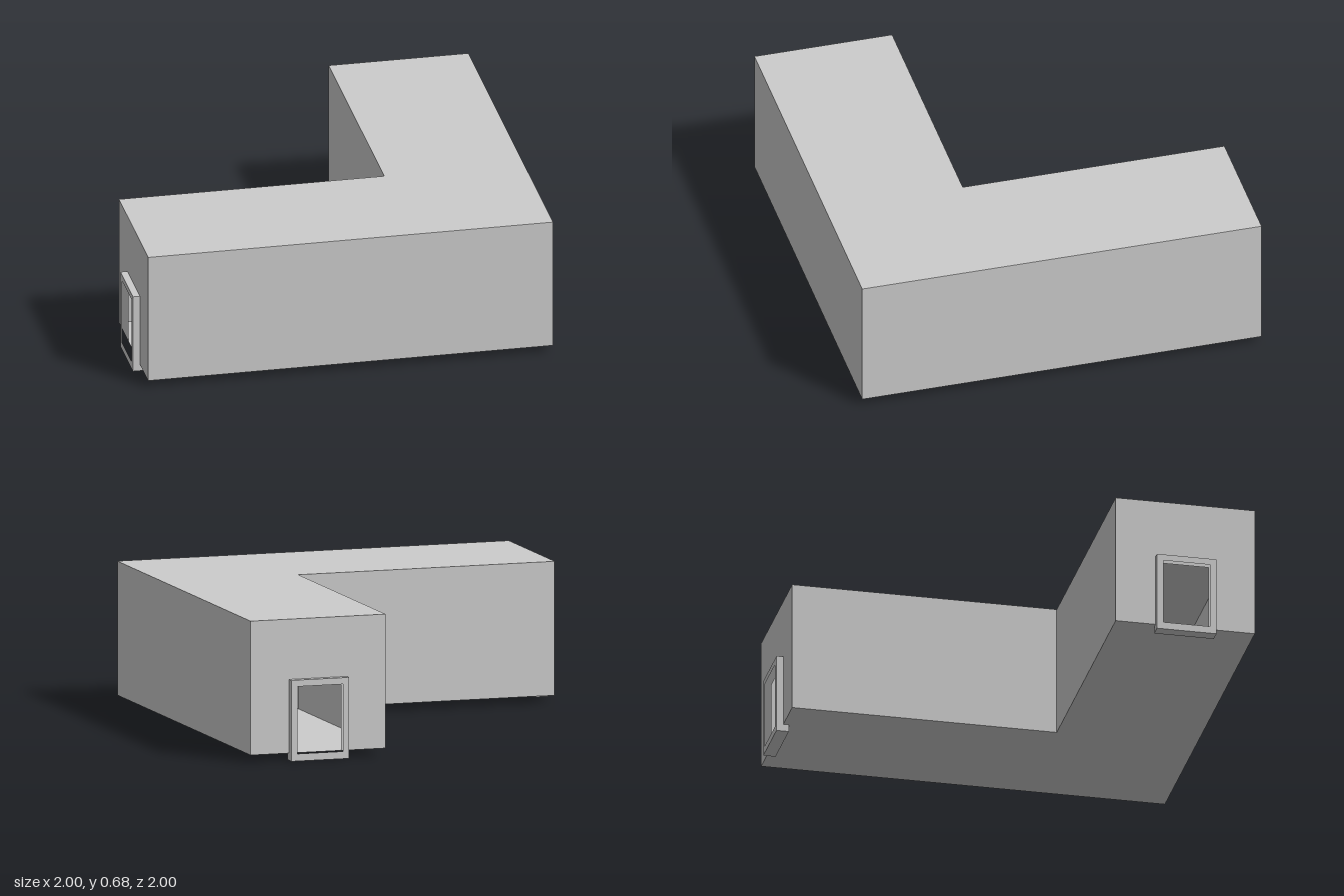
import * as THREE from 'three';

const OUT = 1, IN = 0.322, END = -0.967;   // outer side, inner corner and wing ends
const FLOOR = 0.035, TOP = 0.68;
const DOOR = { w: 0.29, h: 0.39, border: 0.031, depth: 0.06 };

const solid = new THREE.MeshStandardMaterial({ color: 0xcccccc, flatShading: true });
const thin = new THREE.MeshStandardMaterial({ color: 0xcccccc, flatShading: true, side: THREE.DoubleSide });

// Clockwise rectangle, usable as an outline or a hole
function rect(PathType, x0, y0, x1, y1) {
  const p = new PathType();
  p.moveTo(x0, y0);
  p.lineTo(x0, y1);
  p.lineTo(x1, y1);
  p.lineTo(x1, y0);
  p.closePath();
  return p;
}

const opening = () => rect(THREE.Path,
  -DOOR.w / 2 + DOOR.border, FLOOR, DOOR.w / 2 - DOOR.border, DOOR.h - DOOR.border);

// Upright thin wall between two plan points [x, z], optionally with a doorway
function makeWall(name, [x0, z0], [x1, z1], doorway) {
  const half = Math.hypot(x1 - x0, z1 - z0) / 2;
  const shape = rect(THREE.Shape, -half, FLOOR, half, TOP);
  if (doorway) shape.holes.push(opening());
  const wall = new THREE.Mesh(new THREE.ShapeGeometry(shape), thin);
  wall.name = name;
  wall.position.set((x0 + x1) / 2, 0, (z0 + z1) / 2);
  wall.rotation.y = -Math.atan2(z1 - z0, x1 - x0);
  return wall;
}

// Horizontal L-shaped slab surface
function makeDeck(name, plan, y) {
  const shape = new THREE.Shape(plan.map(([x, z]) => new THREE.Vector2(x, z)));
  const deck = new THREE.Mesh(new THREE.ShapeGeometry(shape).rotateX(Math.PI / 2), thin);
  deck.name = name;
  deck.position.y = y;
  return deck;
}

// Door frame with sill, straddling the end wall
function makeFrame(name, x, z, turn) {
  const shape = rect(THREE.Shape, -DOOR.w / 2, 0, DOOR.w / 2, DOOR.h);
  shape.holes.push(opening());
  const geo = new THREE.ExtrudeGeometry(shape, { depth: DOOR.depth, bevelEnabled: false });
  const frame = new THREE.Mesh(geo, solid);
  frame.name = name;
  frame.position.set(x, 0, z);
  frame.rotation.y = turn;
  return frame;
}

export function createModel() {
  const model = new THREE.Group();
  model.name = 'cornerCorridor';

  // Plan of the L, walked around its outline
  const plan = [[END, OUT], [OUT, OUT], [OUT, END], [IN, END], [IN, IN], [END, IN]];
  const names = ['frontWall', 'leftWall', 'backEndWall', 'innerSideWall', 'innerBackWall', 'rightEndWall'];
  plan.forEach((p, i) =>
    model.add(makeWall(names[i], p, plan[(i + 1) % plan.length], names[i].includes('End'))));

  model.add(makeDeck('floor', plan, FLOOR), makeDeck('ceiling', plan, TOP));

  // A framed doorway on each wing end
  const mid = (IN + OUT) / 2;
  model.add(makeFrame('backDoorFrame', mid, -1, 0));
  model.add(makeFrame('rightDoorFrame', -1, mid, Math.PI / 2));
  return model;
}
